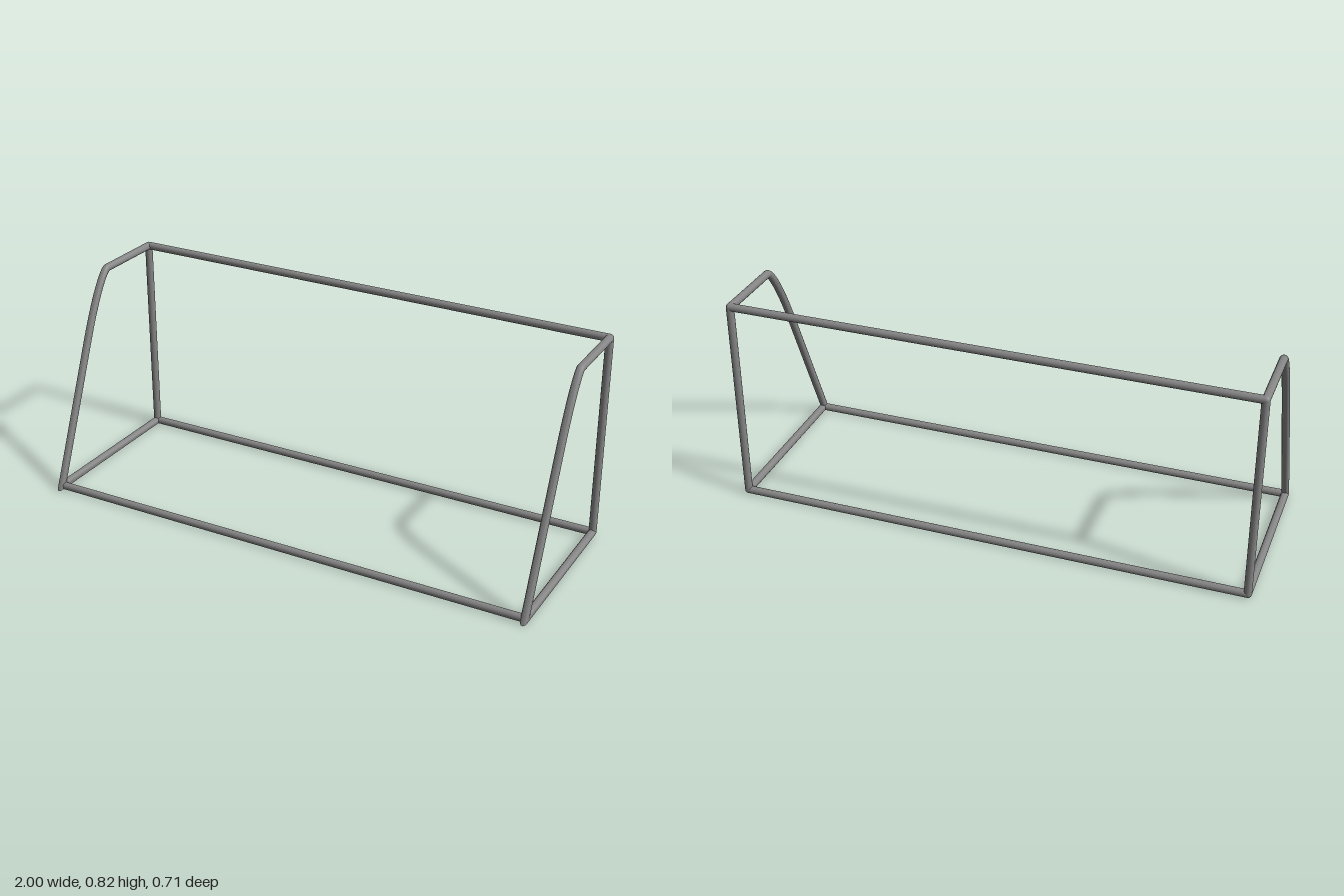
import * as THREE from 'three';
import { toCreasedNormals } from 'three/addons/utils/BufferGeometryUtils.js';

const R = 0.015, SIDES = 16;
const X = 0.985, BACK = -0.34, FRONT = 0.333, LOW = 0.016, HIGH = 0.81;

// Pipe swept through points in the yz plane, mitred at every bend
function mitredPipe(points) {
  const pos = [], index = [];
  const normalOf = (a, b) => {
    const t = b.clone().sub(a).normalize();
    return new THREE.Vector3(0, -t.z, t.y);
  };
  points.forEach((p, i) => {
    const before = normalOf(points[Math.max(i - 1, 0)], points[Math.max(i, 1)]);
    const last = points.length - 1;
    const after = normalOf(points[Math.min(i, last - 1)], points[Math.min(i + 1, last)]);
    const n = before.clone().add(after).normalize();
    const reach = R / n.dot(before);
    for (let j = 0; j < SIDES; j++) {
      const a = (j / SIDES) * Math.PI * 2;
      pos.push(R * Math.sin(a), p.y + n.y * reach * Math.cos(a), p.z + n.z * reach * Math.cos(a));
      if (i < last) {
        const k = (j + 1) % SIDES, r0 = i * SIDES, r1 = r0 + SIDES;
        index.push(r0 + j, r0 + k, r1 + k, r0 + j, r1 + k, r1 + j);
      }
    }
  });
  const g = new THREE.BufferGeometry();
  g.setAttribute('position', new THREE.Float32BufferAttribute(pos, 3));
  g.setIndex(index);
  return toCreasedNormals(g, 0.7);
}

export function createModel() {
  const model = new THREE.Group();
  model.name = 'goalFrame';
  const mat = new THREE.MeshStandardMaterial({ color: 0x868686 });
  const add = (name, geometry, x, y, z) => {
    const m = new THREE.Mesh(geometry, mat);
    m.name = name;
    m.position.set(x, y, z);
    model.add(m);
  };
  const v = (z, y) => new THREE.Vector3(0, y, z);

  // Side outline: top arm, bend, sloping leg, mitred foot, ground rail
  const bend = new THREE.CubicBezierCurve3(v(-0.05, HIGH), v(-0.022, 0.803), v(0.04, 0.71), v(0.107, 0.55));
  const outline = [v(BACK, HIGH), ...bend.getPoints(16), v(FRONT, LOW), v(BACK, LOW)];
  const sideGeometry = mitredPipe(outline);
  const postGeometry = new THREE.CylinderGeometry(R, R, HIGH - LOW, SIDES, 1, true);
  const jointGeometry = new THREE.SphereGeometry(R, SIDES, 12);

  for (const [side, s] of [['left', 1], ['right', -1]]) {
    add(side + 'SidePipe', sideGeometry, s * X, 0, 0);
    add(side + 'BackPost', postGeometry, s * X, (HIGH + LOW) / 2, BACK);
    add(side + 'TopJoint', jointGeometry, s * X, HIGH, BACK);
    add(side + 'BottomJoint', jointGeometry, s * X, LOW, BACK);
  }

  // Long rails across the width
  const railGeometry = new THREE.CylinderGeometry(R, R, 2 * X, SIDES).rotateZ(Math.PI / 2);
  add('topBackRail', railGeometry, 0, HIGH, BACK);
  add('bottomBackRail', railGeometry, 0, LOW, BACK);
  add('bottomFrontRail', railGeometry, 0, LOW, 0.328);

  return model;
}
